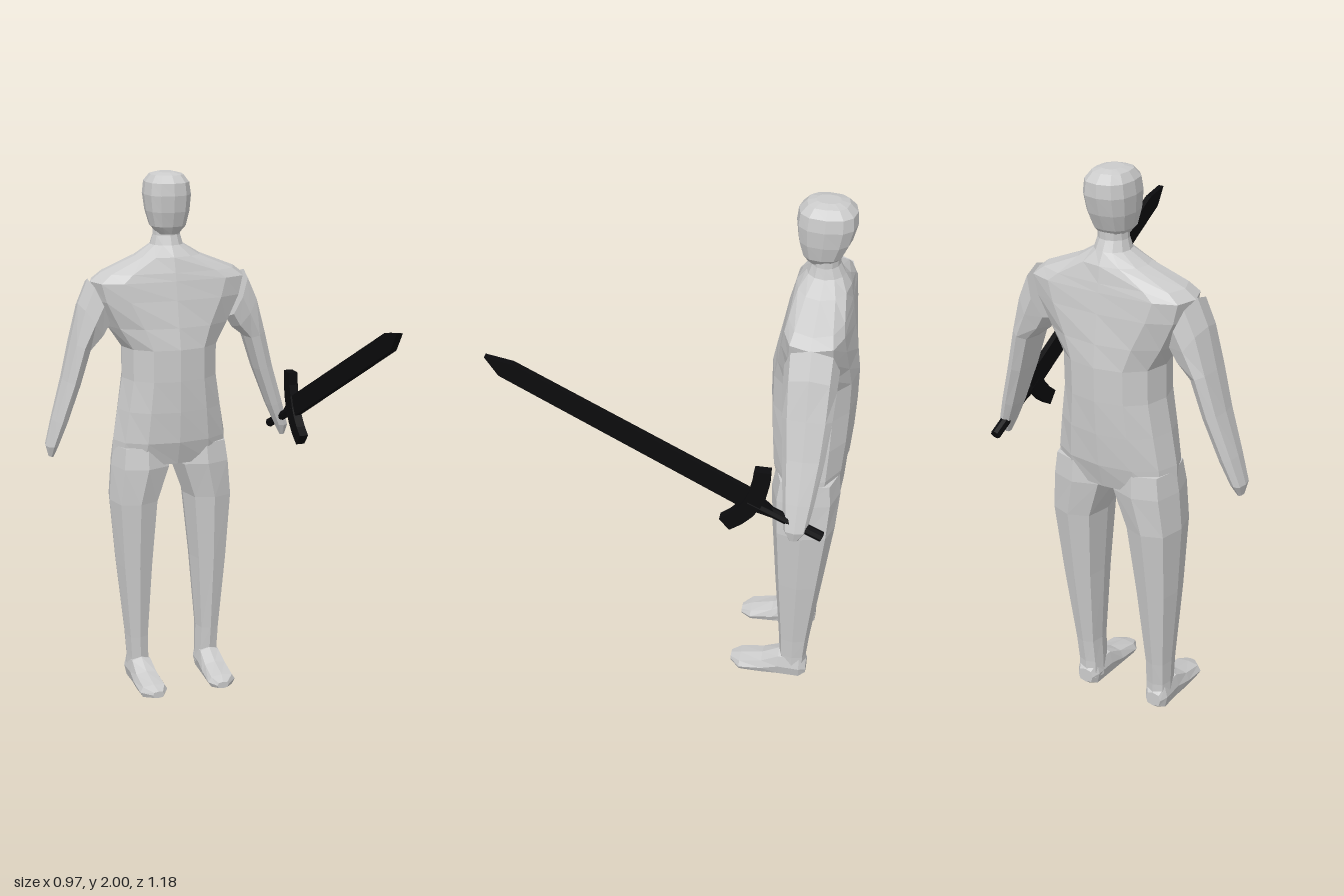
import * as THREE from 'three';

const skin = new THREE.MeshStandardMaterial({ color: 0xcccccc, flatShading: true });
const black = new THREE.MeshStandardMaterial({ color: 0x0b0b0d, flatShading: true });

// Closed skin through rings. Each ring: centre c, half axes u and v, roundness p (1 = ellipse, smaller = boxier).
function loft(name, rings, sides) {
  const pos = [], idx = [];
  const bend = (t, p) => Math.sign(t) * Math.pow(Math.abs(t), p);
  for (const { c, u, v, p = 0.85 } of rings) {
    for (let i = 0; i < sides; i++) {
      const a = (i / sides) * Math.PI * 2;
      const s = Math.abs(Math.cos(a)) < 1e-6 ? 0 : bend(Math.cos(a), p);
      const t = Math.abs(Math.sin(a)) < 1e-6 ? 0 : bend(Math.sin(a), p);
      for (let k = 0; k < 3; k++) pos.push(c[k] + u[k] * s + v[k] * t);
    }
  }
  const last = (rings.length - 1) * sides, c0 = rings.length * sides, c1 = c0 + 1;
  pos.push(...rings[0].c, ...rings[rings.length - 1].c);
  for (let i = 0; i < sides; i++) {
    const j = (i + 1) % sides;
    for (let r = 0; r < last; r += sides) {
      idx.push(r + i, r + j, r + sides + j, r + i, r + sides + j, r + sides + i);
    }
    idx.push(c0, j, i, c1, last + i, last + j);
  }
  // Turn the faces outward if the rings run the other way
  const P = (i) => new THREE.Vector3().fromArray(pos, i * 3);
  let volume = 0;
  for (let i = 0; i < idx.length; i += 3) volume += P(idx[i]).dot(P(idx[i + 1]).cross(P(idx[i + 2])));
  if (volume < 0) idx.reverse();
  const geo = new THREE.BufferGeometry();
  geo.setAttribute('position', new THREE.Float32BufferAttribute(pos, 3));
  geo.setIndex(idx);
  geo.computeVertexNormals();
  const mesh = new THREE.Mesh(geo, skin);
  mesh.name = name;
  return mesh;
}

// Ring spanning a to b in the xy plane, and front to back in z
const span = (a, b, front, back, p) => ({
  c: [(a[0] + b[0]) / 2, (a[1] + b[1]) / 2, (front + back) / 2],
  u: [(b[0] - a[0]) / 2, (b[1] - a[1]) / 2, 0],
  v: [0, 0, (front - back) / 2], p,
});
// Level ring about x = 0
const level = ([y, w, front, back, p]) => span([-w, y], [w, y], front, back, p);

function createLimbs(s, side) {
  const g = new THREE.Group();
  // Arm: outer x, y, inner x, y, front z, back z
  g.add(loft(side + 'Arm', [
    [0.308, 1.62, 0.235, 1.44, -0.36, -0.543],
    [0.347, 1.53, 0.26, 1.40, -0.362, -0.54],
    [0.38, 1.39, 0.31, 1.36, -0.368, -0.535],
    [0.415, 1.25, 0.35, 1.23, -0.38, -0.522],
    [0.46, 1.10, 0.405, 1.08, -0.393, -0.5],
    [0.487, 1.0, 0.44, 1.0, -0.403, -0.483],
    [0.478, 0.96, 0.46, 0.955, -0.425, -0.455],
  ].map(([ox, oy, ix, iy, f, b]) => span([s * ix, iy], [s * ox, oy], f, b, 0.8)), 8));

  // Leg: y, inner x, outer x, front z, back z
  g.add(loft(side + 'Leg', [
    [0.98, 0.01, 0.222, -0.33, -0.555],
    [0.90, 0.005, 0.233, -0.318, -0.563],
    [0.76, 0.055, 0.242, -0.328, -0.553],
    [0.50, 0.08, 0.222, -0.347, -0.522],
    [0.20, 0.102, 0.192, -0.37, -0.486],
    [0.11, 0.10, 0.187, -0.375, -0.478],
    [0.04, 0.098, 0.187, -0.38, -0.478],
  ].map(([y, i, o, f, b]) => span([s * i, y], [s * o, y], f, b, 0.75)), 8));

  // Foot: z, inner x, outer x, sole y, top y
  g.add(loft(side + 'Foot', [
    [-0.48, 0.115, 0.175, 0.02, 0.075],
    [-0.455, 0.1, 0.19, 0.0, 0.11],
    [-0.375, 0.095, 0.19, 0.0, 0.115],
    [-0.31, 0.09, 0.195, 0.005, 0.08],
    [-0.225, 0.085, 0.195, 0.008, 0.06],
    [-0.187, 0.11, 0.155, 0.018, 0.045],
  ].map(([z, i, o, y0, y1]) => ({
    c: [s * (i + o) / 2, (y0 + y1) / 2, z],
    u: [s * (o - i) / 2, 0, 0], v: [0, (y1 - y0) / 2, 0], p: 0.7,
  })), 8));
  return g;
}

// Flat sword part drawn in (z, y) and given a thickness in x
function plate(name, shape, thick) {
  const geo = new THREE.ExtrudeGeometry(shape, { depth: thick, bevelEnabled: false, curveSegments: 6 });
  geo.translate(0, 0, -thick / 2).rotateY(-Math.PI / 2);
  const mesh = new THREE.Mesh(geo, black);
  mesh.name = name;
  return mesh;
}

function createSword() {
  const sword = new THREE.Group();
  sword.name = 'sword';
  const blade = new THREE.Shape([
    [0.588, 1.572], [0.495, 1.555], [-0.30, 1.142], [-0.41, 1.03], [-0.26, 1.075], [0.545, 1.505],
  ].map(([z, y]) => new THREE.Vector2(z, y)));
  sword.add(plate('blade', blade, 0.022));

  // Crescent guard with its horns toward the tip
  const guard = new THREE.Shape();
  guard.moveTo(-0.30, 1.235);
  guard.lineTo(-0.355, 1.235);
  guard.quadraticCurveTo(-0.36, 1.06, -0.222, 0.973);
  guard.lineTo(-0.187, 1.015);
  guard.quadraticCurveTo(-0.295, 1.09, -0.30, 1.235);
  sword.add(plate('guard', guard, 0.034));

  const from = new THREE.Vector3(0, 1.10, -0.28), to = new THREE.Vector3(0, 0.978, -0.533);
  const grip = new THREE.Mesh(new THREE.CylinderGeometry(0.018, 0.018, from.distanceTo(to), 8), black);
  grip.name = 'grip';
  grip.position.copy(from).lerp(to, 0.5);
  grip.quaternion.setFromUnitVectors(new THREE.Vector3(0, 1, 0), to.clone().sub(from).normalize());
  sword.add(grip);
  sword.position.x = 0.457;
  return sword;
}

export function createModel() {
  const model = new THREE.Group();
  model.name = 'swordsman';

  // Torso with shoulders and neck: y, half width, front z, back z, roundness
  model.add(loft('torso', [
    [0.91, 0.228, -0.335, -0.55, 0.8],
    [1.0, 0.224, -0.305, -0.575, 0.9],
    [1.12, 0.205, -0.295, -0.585, 0.9],
    [1.24, 0.185, -0.29, -0.59, 0.9],
    [1.36, 0.185, -0.29, -0.59, 0.9],
    [1.44, 0.238, -0.305, -0.58, 0.9],
    [1.54, 0.285, -0.325, -0.565, 0.7],
    [1.61, 0.30, -0.338, -0.555, 0.6],
    [1.64, 0.262, -0.345, -0.55, 0.7],
    [1.695, 0.127, -0.36, -0.542, 0.9],
    [1.735, 0.063, -0.39, -0.52, 1],
    [1.77, 0.053, -0.403, -0.502, 1],
    [1.82, 0.053, -0.405, -0.502, 1],
  ].map(level), 12));

  model.add(loft('head', [
    [1.775, 0.04, -0.392, -0.485, 0.9],
    [1.805, 0.066, -0.373, -0.51, 0.8],
    [1.86, 0.08, -0.357, -0.535, 0.8],
    [1.92, 0.086, -0.35, -0.55, 0.8],
    [1.965, 0.08, -0.355, -0.547, 0.8],
    [1.992, 0.06, -0.38, -0.52, 0.8],
    [2.0, 0.03, -0.41, -0.49, 0.8],
  ].map(level), 12));

  model.add(createLimbs(1, 'left'), createLimbs(-1, 'right'), createSword());
  return model;
}
